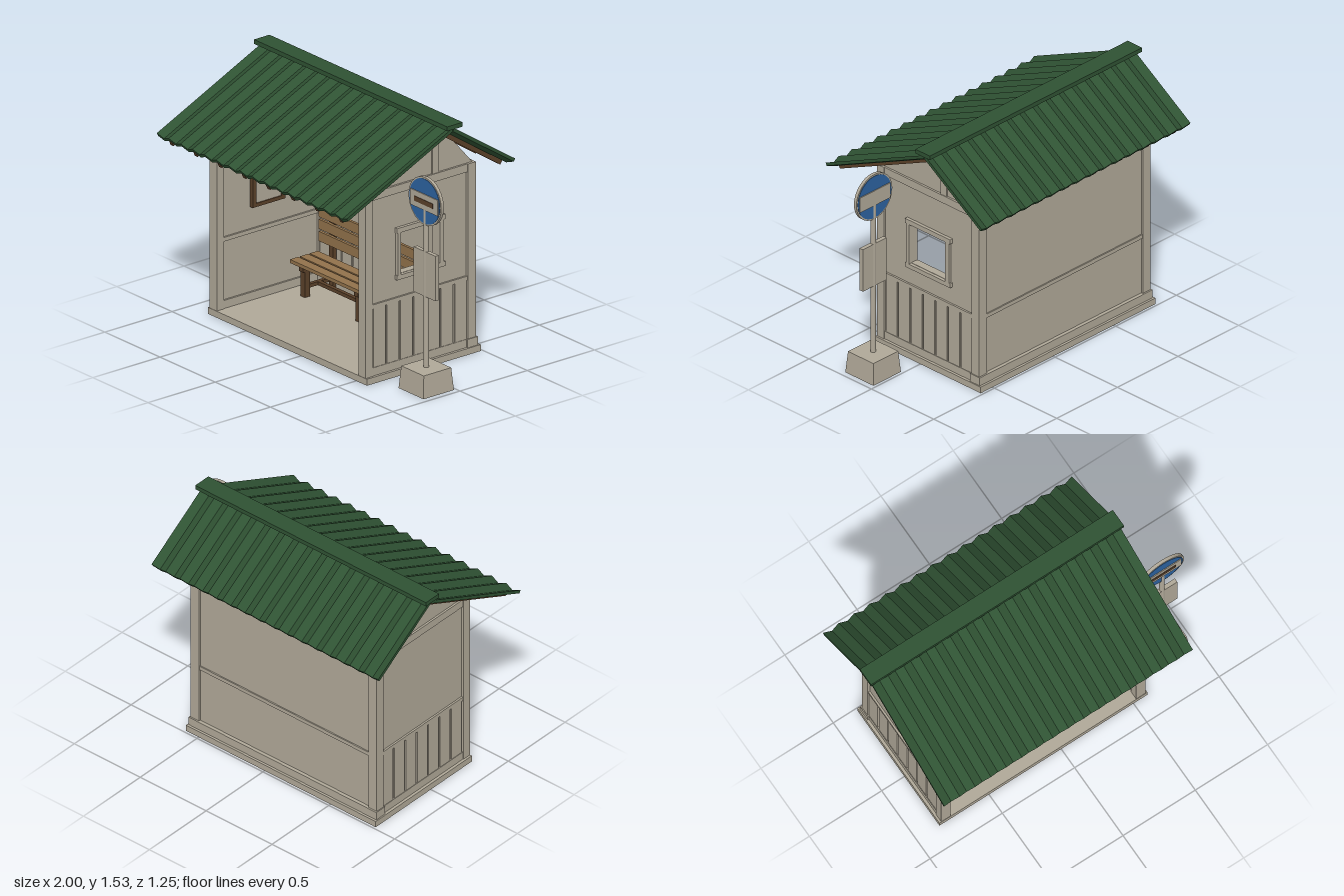
import * as THREE from 'three';

const mat = (name, color) => Object.assign(new THREE.MeshStandardMaterial({ color }), { name });
const concrete = mat('concrete', 0xb0a898);
const green = mat('roofGreen', 0x2f5233);
const darkWood = mat('darkWood', 0x5a4029);
const benchWood = mat('benchWood', 0x92724b);
const blue = mat('signBlue', 0x2c629f);

function add(parent, name, geometry, material) {
  const mesh = new THREE.Mesh(geometry, material);
  mesh.name = name;
  parent.add(mesh);
  return mesh;
}

// Box given by its minimum and maximum on each axis
function box(parent, name, material, [x0, x1], [y0, y1], [z0, z1]) {
  const mesh = add(parent, name, new THREE.BoxGeometry(x1 - x0, y1 - y0, z1 - z0), material);
  mesh.position.set((x0 + x1) / 2, (y0 + y1) / 2, (z0 + z1) / 2);
  return mesh;
}

function group(parent, name) {
  const g = new THREE.Group();
  g.name = name;
  parent.add(g);
  return g;
}

// Upright slab across x, outlined by [z, y] points with an optional hole
function sidePanel(parent, name, x, depth, points, hole) {
  const toVec = (list) => list.map(([z, y]) => new THREE.Vector2(z, y));
  const shape = new THREE.Shape(toVec(points));
  if (hole) shape.holes.push(new THREE.Path(toVec(hole)));
  const geo = new THREE.ExtrudeGeometry(shape, { depth, bevelEnabled: false });
  geo.translate(0, 0, -depth / 2).rotateY(-Math.PI / 2);
  add(parent, name, geo, concrete).position.x = x;
}

const rect = (z0, z1, y0, y1) => [[z0, y0], [z1, y0], [z1, y1], [z0, y1]];

function sideWall(parent, name, x, hasWindow) {
  const wall = group(parent, name);
  const outer = [x - 0.032, x + 0.032];
  const out = Math.sign(x + 0.122);
  // Corner posts and rails
  box(wall, 'frontPost', concrete, outer, [0.04, 1.175], [0.305, 0.36]);
  box(wall, 'backPost', concrete, outer, [0.04, 1.175], [-0.46, -0.4]);
  for (const y of [[0.04, 0.09], [0.455, 0.48], [1.125, 1.175]])
    box(wall, 'rail', concrete, [x - 0.028, x + 0.028], y, [-0.4, 0.305]);
  // Infill panel, pierced on the window side
  sidePanel(wall, 'panel', x, 0.032, rect(-0.41, 0.315, 0.05, 1.16),
    hasWindow ? rect(-0.19, 0.1, 0.62, 0.88) : null);
  // Vertical boards of the lower wall
  for (let i = 0; i < 7; i++) {
    const z = -0.396 + i * 0.1005;
    box(wall, 'lowerBoard', concrete, [x + out * 0.02 - 0.005, x + out * 0.02 + 0.005], [0.09, 0.455], [z, z + 0.088]);
  }
  // Gable infill and king post
  sidePanel(wall, 'gable', x, 0.03, [[-0.45, 1.17], [0.335, 1.17], [0.13, 1.305], [-0.165, 1.445], [-0.285, 1.362]]);
  box(wall, 'kingPost', concrete, [x - 0.024, x + 0.024], [1.175, 1.445], [-0.19, -0.142]);
  if (hasWindow) {
    const trim = [x - 0.036, x + 0.036];
    box(wall, 'windowLintel', concrete, trim, [0.88, 0.91], [-0.23, 0.13]);
    box(wall, 'windowSill', concrete, trim, [0.59, 0.618], [-0.23, 0.13]);
    for (const z of [[-0.22, -0.19], [0.1, 0.125]])
      box(wall, 'windowJamb', concrete, trim, [0.618, 0.88], z);
  }
}

// Folded metal sheet and rafters of one slope, running from the ridge along local +z
function roofSlope(parent, name, length, angle, turn) {
  const slope = group(parent, name);
  slope.position.set(-0.125, 1.482, -0.165);
  slope.rotation.set(angle, turn, 0);
  const folds = 32;
  const box0 = new THREE.BoxGeometry(1.72, 0.02, length, folds, 1, 1);
  const p = box0.attributes.position;
  for (let i = 0; i < p.count; i++) {
    const column = Math.round((p.getX(i) / 1.72 + 0.5) * folds);
    p.setY(i, p.getY(i) + (column % 2 ? -0.011 : 0.011));
  }
  const sheet = box0.toNonIndexed();
  sheet.computeVertexNormals();
  add(slope, 'roofSheet', sheet, green).position.z = length / 2;
  for (let i = 0; i < 8; i++) {
    const x = (i - 3.5) * 0.2193;
    box(slope, 'rafter', darkWood, [x - 0.013, x + 0.013], [-0.047, -0.012], [0, length - 0.01]);
  }
}

function buildBench(parent) {
  const bench = group(parent, 'bench');
  const span = [-0.711, 0.46];
  // Seat and back slats
  for (let i = 0; i < 3; i++) {
    const z = -0.14 - i * 0.073;
    box(bench, 'seatSlat', benchWood, span, [0.228, 0.25], [z - 0.062, z]);
    const y = 0.31 + i * 0.075;
    box(bench, 'backSlat', benchWood, span, [y, y + 0.06], [-0.372, -0.354]);
  }
  // Supports
  for (const x of [-0.622, -0.125, 0.375]) {
    const w = [x - 0.019, x + 0.019];
    box(bench, 'frontLeg', darkWood, w, [0.04, 0.228], [-0.2, -0.162]);
    box(bench, 'backLeg', darkWood, w, [0.04, 0.5], [-0.399, -0.372]);
    box(bench, 'seatBearer', darkWood, w, [0.198, 0.228], [-0.372, -0.15]);
    box(bench, 'sideStretcher', darkWood, [x - 0.012, x + 0.012], [0.09, 0.112], [-0.372, -0.2]);
  }
  box(bench, 'longStretcher', darkWood, [-0.622, 0.375], [0.09, 0.112], [-0.29, -0.265]);
}

function buildSign(parent) {
  const sign = group(parent, 'stopSign');
  sign.position.set(0.852, 0, 0.13);
  // Tapered square foot
  const foot = new THREE.CylinderGeometry(0.102 * Math.SQRT2, 0.113 * Math.SQRT2, 0.138, 4, 1).rotateY(Math.PI / 4).toNonIndexed();
  foot.computeVertexNormals();
  add(sign, 'foot', foot, concrete).position.y = 0.069;
  add(sign, 'pole', new THREE.CylinderGeometry(0.016, 0.016, 1.0, 16), concrete).position.y = 0.63;
  box(sign, 'timetable', concrete, [-0.098, 0.098], [0.577, 0.855], [-0.013, 0.013]);
  // Round plate: rim, blue faces, band and bar
  const rim = add(sign, 'signRim', new THREE.CylinderGeometry(0.148, 0.148, 0.02, 32).rotateX(Math.PI / 2), concrete);
  const face = add(sign, 'signFace', new THREE.CylinderGeometry(0.138, 0.138, 0.025, 32).rotateX(Math.PI / 2), blue);
  rim.position.y = face.position.y = 1.165;
  box(sign, 'signBand', concrete, [-0.125, 0.125], [1.112, 1.21], [-0.018, 0.018]);
  box(sign, 'signBar', darkWood, [-0.083, 0.083], [1.146, 1.176], [0.017, 0.021]);
}

export function createModel() {
  const model = new THREE.Group();
  model.name = 'busShelter';

  // Floor slab and stepped plinth
  box(model, 'floorSlab', concrete, [-0.843, 0.597], [0, 0.04], [-0.485, 0.362]);
  box(model, 'backPlinth', concrete, [-0.835, 0.59], [0.04, 0.092], [-0.47, -0.392]);

  sideWall(model, 'leftSideWall', 0.552, true);
  sideWall(model, 'rightSideWall', -0.797, false);

  // Back wall with rails and inner boarding
  const back = group(model, 'backWall');
  const width = [-0.766, 0.521];
  box(back, 'backPanel', concrete, width, [0.05, 1.16], [-0.448, -0.412]);
  for (const y of [[0.455, 0.48], [1.125, 1.175]])
    box(back, 'backRail', concrete, width, y, [-0.456, -0.404]);
  for (let i = 0; i < 13; i++) {
    const x = -0.76 + i * 0.0985;
    box(back, 'innerBoard', concrete, [x, x + 0.088], [0.092, 0.455], [-0.413, -0.405]);
  }
  box(model, 'frontBeam', concrete, width, [1.12, 1.175], [0.308, 0.357]);

  // Framed notice board on the inside of the closed side wall
  const board = group(model, 'noticeBoard');
  const bx = [-0.781, -0.755];
  box(board, 'noticePanel', concrete, [-0.781, -0.762], [0.63, 0.9], [-0.12, 0.08]);
  for (const z of [[-0.142, -0.117], [0.073, 0.1]]) box(board, 'boardSide', darkWood, bx, [0.615, 0.92], z);
  for (const y of [[0.615, 0.637], [0.898, 0.92]]) box(board, 'boardRail', darkWood, bx, y, [-0.117, 0.073]);

  // Roof
  const roof = group(model, 'roof');
  roofSlope(roof, 'frontSlope', 0.86, Math.atan(0.46), 0);
  roofSlope(roof, 'backSlope', 0.542, -Math.atan(0.667), Math.PI);
  box(roof, 'ridgeCap', green, [-1, 0.75], [1.503, 1.53], [-0.225, -0.11]);

  buildBench(model);
  buildSign(model);
  return model;
}
